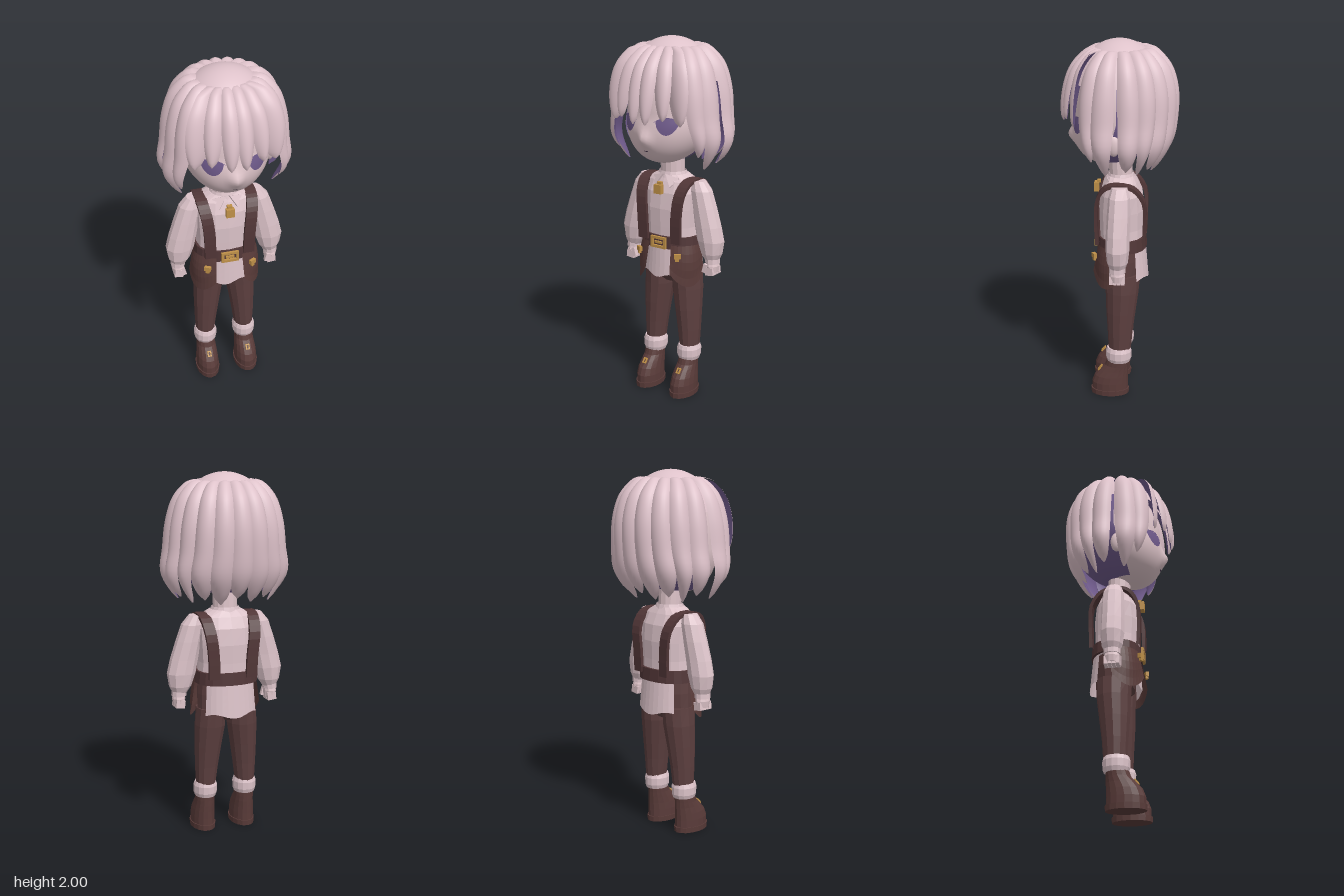
import * as THREE from 'three';

const mat = (name, color, side = THREE.FrontSide) => {
  const m = new THREE.MeshStandardMaterial({ color, side });
  m.name = name;
  return m;
};

export function createModel() {
  const model = new THREE.Group();
  const M = {
    hair: mat('pale pink hair', 0xdec2ca),
    lining: mat('purple hair lining', 0x6f5a8b),
    skin: mat('skin', 0xdfc5ca),
    shirt: mat('shirt', 0xdcc3c9, THREE.DoubleSide),
    trousers: mat('brown trousers', 0x5c3f3f),
    leather: mat('brown leather', 0x593b39, THREE.DoubleSide),
    strap: mat('dark brown strap', 0x513637),
    gold: mat('gold', 0xbf9048),
    dark: mat('dark plum', 0x4a3850),
  };
  const add = (name, geo, m, parent = model) => {
    const mesh = new THREE.Mesh(geo, m);
    mesh.name = name;
    parent.add(mesh);
    return mesh;
  };
  const box = (name, w, h, d, m, x, y, z) => {
    const b = add(name, new THREE.BoxGeometry(w, h, d), m);
    b.position.set(x, y, z);
    return b;
  };

  // Grid surface: u runs to the right and v upward when seen from outside
  const surface = (fn, nu, nv, { flat = false, flip = false } = {}) => {
    const pos = [], idx = [];
    for (let j = 0; j <= nv; j++)
      for (let i = 0; i <= nu; i++) pos.push(...fn(i / nu, j / nv));
    for (let j = 0; j < nv; j++)
      for (let i = 0; i < nu; i++) {
        const a = j * (nu + 1) + i, b = a + 1, c = a + nu + 1, d = c + 1;
        idx.push(...(flip ? [a, d, b, a, c, d] : [a, b, d, a, d, c]));
      }
    let g = new THREE.BufferGeometry();
    g.setAttribute('position', new THREE.Float32BufferAttribute(pos, 3));
    g.setIndex(idx);
    if (flat) g = g.toNonIndexed();
    g.computeVertexNormals();
    return g;
  };
  // Stacked rings [cx, y, cz, rx, rz], bottom to top; the ends are closed
  const power = (v, p) => Math.sign(v) * Math.abs(v) ** p;
  const loft = (rings, sides = 12, { p = 1, mirror = 1, caps = true } = {}) => {
    const close = r => [r[0], r[1], r[2], 0, 0];
    const all = caps ? [close(rings[0]), ...rings, close(rings.at(-1))] : rings;
    const n = all.length - 1;
    return surface((u, v) => {
      const [cx, y, cz, rx, rz] = all[Math.round(v * n)], a = u * 2 * Math.PI;
      return [mirror * cx + power(Math.sin(a), p) * rx, y, cz + power(Math.cos(a), p) * rz];
    }, sides, n, { flat: true });
  };
  const rad = THREE.MathUtils.degToRad;

  // Head: a sphere with a tapered jaw, forward chin and small nose
  const headY = 1.6;
  const faceShift = (x, y, Y) => Math.max(0, -Y) * 0.075 +
    0.032 * Math.exp(-((x / 0.035) ** 2) - ((y - 1.485) / 0.045) ** 2);
  const shapeHead = (g, scale = 1) => {
    const p = g.attributes.position;
    for (let i = 0; i < p.count; i++) {
      const Y = p.getY(i), Z = p.getZ(i);
      const x = p.getX(i) * 0.24 * scale, y = headY + Y * (Y > 0 ? 0.36 : 0.265);
      p.setXYZ(i, x, y, Z * 0.235 * scale + (Z > 0 ? faceShift(x, y, Y) : Math.max(0, -Y) * 0.075 * (1 + Z)));
    }
    g.computeVertexNormals();
    return g;
  };
  add('head', shapeHead(new THREE.SphereGeometry(1, 56, 44)), M.skin);
  add('hairLining', shapeHead(new THREE.SphereGeometry(1, 32, 28, Math.PI, Math.PI, 0, Math.PI * 0.88), 1.08), M.lining);
  add('neck', loft([[0, 1.2, -0.01, 0.065, 0.062], [0, 1.45, 0, 0.07, 0.065]], 14), M.skin);

  // Face details that follow the head surface
  const facePatch = (cx, w, lower, upper, lift) => surface((u, v) => {
    const U = u * 2 - 1, x = cx + w * U, y = THREE.MathUtils.lerp(lower(U), upper(U), v);
    const Y = (y - headY) / (y > headY ? 0.36 : 0.265);
    const Z = Math.sqrt(Math.max(0, 1 - (x / 0.24) ** 2 - Y * Y));
    return [x, y, Z * 0.235 + faceShift(x, y, Y) + lift];
  }, 16, 4);
  for (const s of [-1, 1]) {
    const arc = U => Math.sqrt(Math.max(0, 1 - U * U));
    add('eye', facePatch(s * 0.118, 0.054, U => 1.582 - 0.066 * arc(U) ** 1.4, U => 1.583 + 0.02 * arc(U), 0.005), M.lining);
    add('upperLash', facePatch(s * 0.12, 0.066, U => 1.602 - 0.022 * U * U, U => 1.607 - 0.025 * U * U, 0.007), M.lining);
    const ear = add('ear', new THREE.SphereGeometry(1, 14, 10), M.skin);
    ear.scale.set(0.025, 0.058, 0.034);
    ear.position.set(s * 0.24, 1.485, 0.015);
  }
  add('mouth', facePatch(0, 0.011, () => 1.418, () => 1.424, 0.004), M.dark);

  // Hair: crown cap and overlapping curved locks with purple undersides
  const crown = add('hairCrown', new THREE.SphereGeometry(1, 40, 16, 0, Math.PI * 2, 0, Math.PI * 0.36), M.hair);
  crown.scale.set(0.298, 0.38, 0.283);
  crown.position.y = 1.62;
  const profile = r => new THREE.CatmullRomCurve3([1.953, 1.935, 1.86, 1.74, 1.6, 1.46, 1.315]
    .map((y, i) => new THREE.Vector3(r[i], y, 0)), false, 'catmullrom', 0.5);
  const sideR = profile([0.13, 0.19, 0.255, 0.293, 0.31, 0.325, 0.25]);
  const backR = profile([0.132, 0.183, 0.25, 0.285, 0.285, 0.26, 0.18]);
  const frontR = profile([0.1, 0.16, 0.235, 0.278, 0.294, 0.277, 0.2]);
  const hair = new THREE.Group();
  hair.name = 'hair';
  model.add(hair);
  const lock = (deg, halfWidth, end, { bulge = 0.028, sweep = 0, blunt = 0.6, tilt = 0 } = {}) => {
    const layer = outer => surface((u, v) => {
      const s = 1 - v, t = s * end, U = u * 2 - 1;
      const k = Math.max(0, (s - blunt) / (1 - blunt));
      const taper = Math.max(0.06, Math.sqrt(1 - k * k));
      const a = rad(deg + U * halfWidth * taper + sweep * s);
      const side = sideR.getPoint(t), rz = (Math.cos(a) > 0 ? frontR : backR).getPoint(t).x;
      const h = (1 - U * U) * Math.min(1, s * 28) * Math.sqrt(taper) * (outer ? bulge : -0.01)
        + tilt * U * taper * Math.min(1, s * 4);
      return [Math.sin(a) * (side.x + h), side.y + (outer ? 0.4 * h * (1 - s) ** 4 : 0), Math.cos(a) * (rz + h)];
    }, 10, 28, { flip: !outer });
    add('hairLock', layer(true), M.hair, hair);
    add('hairLockUnderside', layer(false), M.lining, hair);
  };
  for (let i = 0; i < 9; i++) {
    const edge = i === 0 ? 1 : i === 8 ? -1 : 0;
    const thin = i === 1 || i === 7;
    lock(104 + i * 19 - edge * 3, 11.2, [0.96, 0.99, 0.97, 1][i % 4], { sweep: edge * 3, blunt: thin ? 0.5 : 0.82 });
  }
  for (const s of [-1, 1]) {
    lock(s * 8, 9.5, 0.7, { bulge: 0.026, sweep: -s, blunt: 0.5 });
    lock(s * 22, 10, 0.67, { sweep: s * 3, blunt: 0.5, tilt: s * 0.015 });
    lock(s * 34, 10.5, 0.7, { sweep: s * 7, blunt: 0.5, tilt: s * 0.05 });
    lock(s * 57, 12, 0.9, { bulge: 0.026, sweep: s * 2, blunt: 0.4 });
    lock(s * 77, 12.8, 0.99, { sweep: s * -3 });
  }

  // Shirt body, collar and loose front and back tails
  add('shirtBody', loft([
    [0, 0.86, -0.015, 0.162, 0.12], [0, 0.98, -0.012, 0.155, 0.122], [0, 1.08, -0.012, 0.16, 0.125],
    [0, 1.17, -0.012, 0.165, 0.115], [0, 1.23, -0.01, 0.15, 0.09], [0, 1.265, -0.008, 0.085, 0.072],
  ], 16, { p: 0.82 }), M.shirt);
  add('collarBand', loft([[0, 1.225, -0.008, 0.098, 0.088], [0, 1.28, -0.008, 0.076, 0.07]], 16, { caps: false }), M.shirt);
  const arcPanel = (a0, a1, bottom, r0, r1, bulge = 0) => surface((u, v) => {
    const a = rad(a0 + (a1 - a0) * u), k = 1 - v;
    const h = bulge * Math.sin(Math.PI * u) * Math.sin(Math.PI * Math.min(1, k + 0.12));
    const rx = r0[0] + (r1[0] - r0[0]) * k + h, rz = r0[1] + (r1[1] - r0[1]) * k + h;
    return [Math.sin(a) * rx, bottom(u) + (0.885 - bottom(u)) * v, Math.cos(a) * rz - 0.015];
  }, 10, 5, { flat: true });
  add('shirtFrontTail', arcPanel(-50, 50, u => 0.7 + 0.012 * Math.sin(u * 11), [0.16, 0.125], [0.175, 0.135]), M.shirt);
  add('shirtBackTail', arcPanel(126, 234, u => 0.69 + 0.012 * Math.sin(u * 9), [0.165, 0.13], [0.18, 0.148]), M.shirt);

  // Trousers seat and belt
  add('trouserSeat', loft([[0, 0.645, -0.02, 0.1, 0.05], [0, 0.7, -0.02, 0.165, 0.1],
    [0, 0.8, -0.018, 0.165, 0.115], [0, 0.88, -0.015, 0.16, 0.115]], 16), M.trousers);
  add('belt', loft([[0, 0.862, -0.015, 0.176, 0.138], [0, 0.93, -0.015, 0.17, 0.134]], 20, { p: 0.85 }), M.strap);

  // Gold frames for the belt and boots
  const frame = (w, h, t, d) => {
    const rect = (S, a, b) => new S().moveTo(-a, -b).lineTo(a, -b).lineTo(a, b).lineTo(-a, b).closePath();
    const shape = rect(THREE.Shape, w / 2, h / 2);
    shape.holes.push(rect(THREE.Path, w / 2 - t, h / 2 - t));
    return new THREE.ExtrudeGeometry(shape, { depth: d, bevelEnabled: false });
  };
  add('beltBuckle', frame(0.098, 0.064, 0.014, 0.014), M.gold).position.set(0, 0.896, 0.121);
  box('buckleProng', 0.048, 0.012, 0.01, M.gold, 0, 0.896, 0.129);
  box('pendant', 0.046, 0.05, 0.026, M.gold, 0, 1.195, 0.125);
  box('pendantClasp', 0.028, 0.014, 0.02, M.gold, 0, 1.226, 0.112);

  // Ribbon bent over the shoulder, with even width and thickness
  const ribbon = (pts, w, t) => {
    const c = new THREE.CatmullRomCurve3(pts.map(p => new THREE.Vector3(...p)));
    const corner = [[-1, 0], [1, 0], [1, -1], [-1, -1], [-1, 0]];
    return surface((u, v) => {
      const p = c.getPoint(v), d = c.getTangent(v), [a, b] = corner[Math.round(u * 4)];
      const l = Math.hypot(d.y, d.z);
      return [p.x + a * w / 2, p.y - d.z / l * b * t, p.z + d.y / l * b * t];
    }, 4, 24, { flat: true });
  };

  for (const s of [-1, 1]) {
    const o = { mirror: s };
    add('suspender', ribbon([
      [s * 0.108, 0.9, 0.124], [s * 0.112, 1.05, 0.13], [s * 0.124, 1.17, 0.117], [s * 0.135, 1.232, 0.072],
      [s * 0.138, 1.25, 0], [s * 0.135, 1.23, -0.085], [s * 0.125, 1.15, -0.145], [s * 0.11, 1.02, -0.152], [s * 0.106, 0.9, -0.148],
    ], 0.062, 0.018), M.strap);

    // Collar point
    const tri = new THREE.Shape().moveTo(s * 0.006, 0.03).lineTo(s * 0.085, 0.022).lineTo(s * 0.05, -0.038);
    const point = add('collarPoint', new THREE.ExtrudeGeometry(tri, { depth: 0.01, bevelEnabled: false }), M.shirt);
    point.position.set(0, 1.24, 0.083);
    point.rotation.set(-0.5, s * 0.35, 0);

    // Puffed sleeve, wrist cuff and hand
    add('sleeve', loft([
      [0.264, 0.81, -0.005, 0.038, 0.04], [0.26, 0.85, -0.005, 0.062, 0.056], [0.253, 0.92, -0.005, 0.08, 0.064],
      [0.236, 1.0, -0.005, 0.078, 0.063], [0.212, 1.1, -0.008, 0.07, 0.062], [0.188, 1.19, -0.01, 0.062, 0.058],
      [0.17, 1.24, -0.01, 0.038, 0.042],
    ], 10, o), M.shirt);
    add('wristCuff', loft([[0.268, 0.795, -0.005, 0.041, 0.045], [0.266, 0.825, -0.005, 0.041, 0.044]], 10, o), M.shirt);
    add('hand', loft([[0.268, 0.745, -0.005, 0.032, 0.04], [0.269, 0.78, -0.005, 0.036, 0.043],
      [0.268, 0.81, -0.005, 0.03, 0.034]], 10, o), M.skin);
    for (let i = 0; i < 4; i++)
      box('finger', 0.05, 0.044, 0.019, M.skin, s * 0.268, 0.752, 0.027 - i * 0.021).rotation.z = s * 0.12;
    box('thumb', 0.02, 0.05, 0.022, M.skin, s * 0.242, 0.768, 0.03).rotation.z = s * -0.25;

    // Hip pouch with a gold stud
    const a = s > 0 ? [24, 92] : [-92, -24];
    add('hipPouch', arcPanel(a[0], a[1], u => 0.655 + 0.075 * Math.abs(2 * u - 1) ** 2,
      [0.178, 0.14], [0.2, 0.17], 0.014), M.leather);
    box('pouchStud', 0.036, 0.026, 0.018, M.gold, s * 0.128, 0.837, 0.13).rotation.y = s * 0.5;
    box('pouchStudDrop', 0.02, 0.016, 0.014, M.gold, s * 0.128, 0.818, 0.131).rotation.y = s * 0.5;

    // Trouser leg, folded sock and boot
    add('trouserLeg', loft([
      [0.117, 0.26, -0.008, 0.054, 0.062], [0.112, 0.38, -0.01, 0.065, 0.07], [0.104, 0.5, -0.014, 0.075, 0.082],
      [0.094, 0.62, -0.02, 0.085, 0.092], [0.09, 0.72, -0.02, 0.08, 0.098],
    ], 12, o), M.trousers);
    add('sockCuff', loft([[0.117, 0.2, -0.003, 0.058, 0.064], [0.117, 0.222, -0.003, 0.066, 0.072],
      [0.117, 0.262, -0.003, 0.067, 0.073], [0.117, 0.285, -0.003, 0.058, 0.066]], 14, o), M.shirt);
    add('boot', loft([
      [0.118, 0.02, 0.047, 0.065, 0.102], [0.118, 0.07, 0.047, 0.065, 0.102], [0.118, 0.11, 0.039, 0.062, 0.095],
      [0.117, 0.145, 0.024, 0.058, 0.081], [0.117, 0.175, 0.009, 0.055, 0.066], [0.117, 0.21, 0.002, 0.054, 0.06],
    ], 16, o), M.leather);
    add('bootSole', loft([[0.118, 0, 0.047, 0.068, 0.107], [0.118, 0.03, 0.047, 0.07, 0.109]], 16, o), M.leather);
    const buckle = add('bootBuckle', frame(0.024, 0.034, 0.007, 0.008), M.gold);
    buckle.position.set(s * 0.118, 0.147, 0.1);
    buckle.rotation.x = -0.7;
  }
  return model;
}
